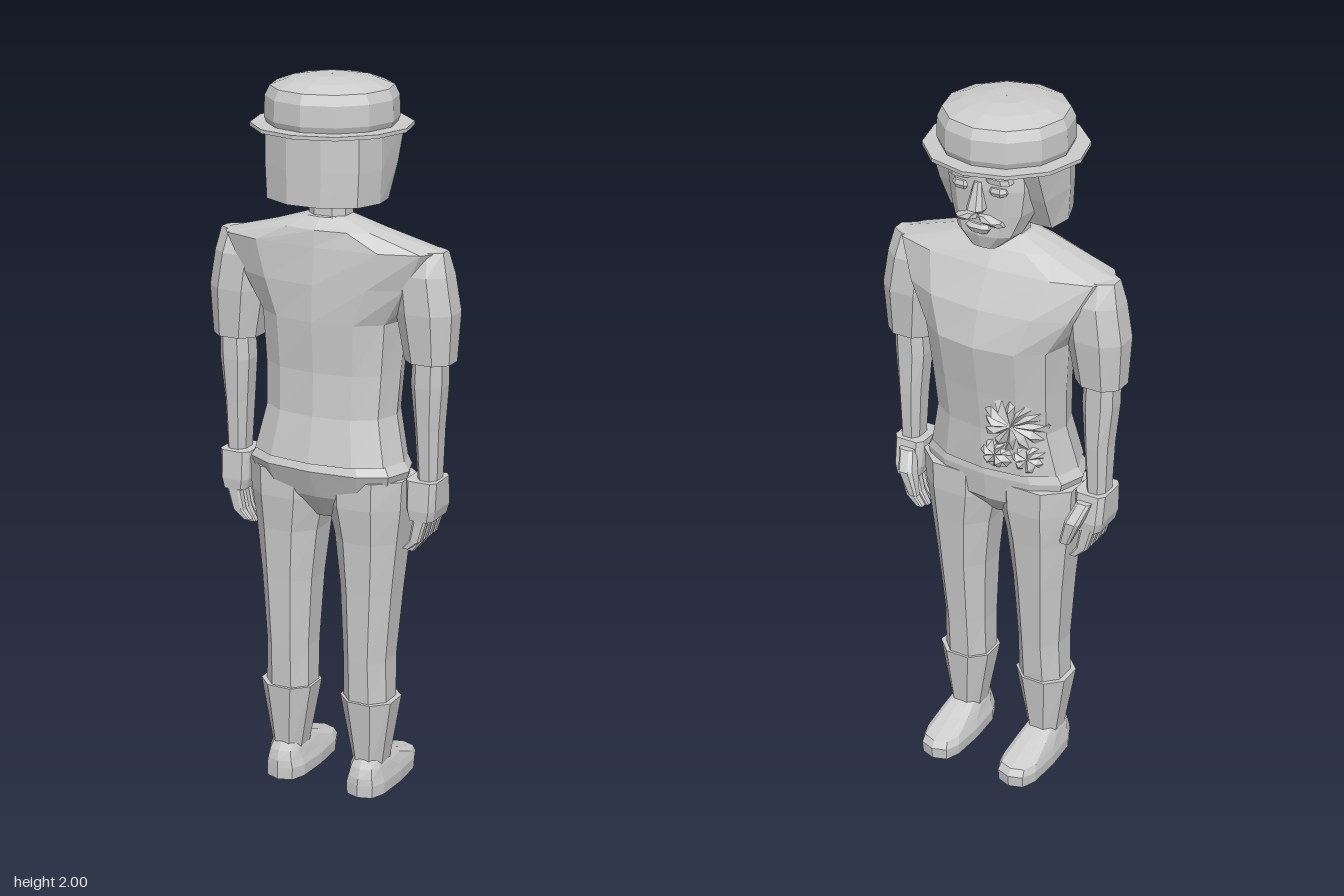
import * as THREE from 'three';

const grey = new THREE.MeshStandardMaterial({ color: 0xcccccc, flatShading: true, side: THREE.DoubleSide });
grey.name = 'plainGrey';

// Closed skin over equal-length loops of [x, y, z], ordered from bottom to top
function skin(loops) {
  const n = loops[0].length, pos = loops.flat(2), idx = [];
  for (let i = 0; i < loops.length - 1; i++) {
    for (let j = 0; j < n; j++) {
      const a = i * n + j, b = i * n + (j + 1) % n;
      idx.push(a, a + n, b, b, a + n, b + n);
    }
  }
  [0, loops.length - 1].forEach((r, top) => {
    const c = pos.length / 3;
    for (let k = 0; k < 3; k++) pos.push(loops[r].reduce((s, p) => s + p[k], 0) / n);
    for (let j = 0; j < n; j++) {
      const a = r * n + j, b = r * n + (j + 1) % n;
      idx.push(...(top ? [c, b, a] : [c, a, b]));
    }
  });
  const g = new THREE.BufferGeometry();
  g.setAttribute('position', new THREE.Float32BufferAttribute(pos, 3));
  g.setIndex(idx);
  const flat = g.toNonIndexed();
  flat.computeVertexNormals();
  return flat;
}

// Rounded cross-sections given as [y, xMin, xMax, zBack, zFront]; e below 1 is boxier
function loft(rings, n = 8, e = 0.8, side = 1) {
  const off = n === 12 ? 0 : Math.PI / n, max = Math.cos(off);
  const f = v => Math.sign(v) * Math.pow(Math.abs(v) / max, e);
  return skin(rings.map(([y, x0, x1, zb, zf]) => Array.from({ length: n }, (_, j) => {
    const t = off + j * Math.PI * 2 / n;
    return [side * (x0 + x1) / 2 + f(Math.cos(t)) * (x1 - x0) / 2, y,
      (zb + zf) / 2 + f(Math.sin(t)) * (zb - zf) / 2];
  })));
}

const wide = rows => rows.map(([y, w, zb, zf]) => [y, -w, w, zb, zf]);

export function createModel() {
  const model = new THREE.Group();
  const add = (name, geometry) => {
    const mesh = new THREE.Mesh(geometry, grey);
    mesh.name = name;
    model.add(mesh);
    return mesh;
  };

  // Shirt body with sloping shoulders
  add('shirt', loft(wide([
    [0.975, 0.22, 0.14, -0.13], [1.1, 0.19, 0.115, -0.135], [1.22, 0.195, 0.11, -0.152],
    [1.36, 0.205, 0.118, -0.175], [1.46, 0.27, 0.115, -0.15], [1.56, 0.325, 0.105, -0.1],
    [1.605, 0.16, 0.1, -0.07], [1.635, 0.065, 0.072, -0.04],
  ]), 12, 0.85));

  // Trouser top
  add('pelvis', loft(wide([
    [0.8, 0.06, 0.05, -0.05], [0.87, 0.21, 0.1, -0.11],
    [0.95, 0.235, 0.132, -0.12], [0.99, 0.21, 0.115, -0.115],
  ]), 12, 0.8));

  // Neck and face
  add('neck', loft(wide([[1.59, 0.055, 0.055, -0.04], [1.72, 0.052, 0.05, -0.045]])));
  add('face', loft(wide([
    [1.632, 0.04, -0.07, -0.13], [1.67, 0.088, 0, -0.142], [1.73, 0.115, 0.05, -0.142],
    [1.8, 0.125, 0.06, -0.145], [1.87, 0.12, 0.06, -0.14],
  ]), 12, 0.8));
  add('nose', loft(wide([
    [1.735, 0.012, -0.12, -0.15], [1.75, 0.024, -0.12, -0.175], [1.82, 0.01, -0.12, -0.15],
  ]), 8, 0.8));
  add('lips', loft(wide([
    [1.68, 0.025, -0.12, -0.148], [1.695, 0.035, -0.12, -0.155], [1.705, 0.028, -0.12, -0.148],
  ]), 8, 0.8));

  // Hair block with the front cut back towards the jaw
  const hairLoop = (y, front, k) => [[0.155, front], [0.165, 0.04], [0.137, 0.115], [0.05, 0.16],
    [-0.05, 0.16], [-0.137, 0.115], [-0.165, 0.04], [-0.155, front]].map(([x, z]) => [x * k, y, z]);
  add('hair', skin([hairLoop(1.68, -0.03, 0.97), hairLoop(1.77, -0.075, 1), hairLoop(1.87, -0.115, 1)]));

  // Bowl hat and flat brim
  add('hatCrown', new THREE.LatheGeometry([
    [0.001, 1.87], [0.17, 1.87], [0.178, 1.89], [0.176, 1.945], [0.163, 1.972],
    [0.115, 1.99], [0.055, 2], [0.001, 2],
  ].map(p => new THREE.Vector2(...p)), 12));
  add('hatBrim', new THREE.CylinderGeometry(0.215, 0.215, 0.01, 12)).position.y = 1.87;

  for (const s of [1, -1]) {
    const side = s > 0 ? 'left' : 'right';
    const part = (name, rings, n, e) => add(side + name, loft(rings, n, e, s));

    // Eye, brow and moustache half
    part('Eye', [[1.79, 0.03, 0.075, -0.1, -0.143], [1.8, 0.025, 0.08, -0.1, -0.147],
      [1.812, 0.03, 0.075, -0.1, -0.143]]);
    part('Brow', [[1.825, 0.02, 0.09, -0.1, -0.15], [1.84, 0.02, 0.085, -0.1, -0.152]]);
    part('Moustache', [[1.705, 0.03, 0.07, -0.1, -0.145], [1.718, 0.004, 0.065, -0.1, -0.16],
      [1.732, 0.002, 0.03, -0.1, -0.155]]);

    // Arm
    part('Sleeve', [[1.265, 0.225, 0.355, 0.052, -0.062], [1.4, 0.2, 0.362, 0.062, -0.075],
      [1.5, 0.19, 0.345, 0.058, -0.07], [1.563, 0.2, 0.33, 0.035, -0.045]], 8, 0.9);
    part('Forearm', [[0.92, 0.265, 0.32, 0.03, -0.045], [1.08, 0.255, 0.325, 0.038, -0.052],
      [1.2, 0.245, 0.335, 0.045, -0.05], [1.3, 0.25, 0.335, 0.045, -0.05]]);
    part('Palm', [[0.83, 0.25, 0.32, 0.052, -0.07], [0.86, 0.242, 0.328, 0.055, -0.073],
      [0.94, 0.24, 0.33, 0.05, -0.06]], 8, 0.4);
    for (let i = 0; i < 4; i++) {
      const z = 0.036 - i * 0.031, d = [0.015, 0, 0, 0.01][i];
      part('Finger' + (i + 1), [[0.73 + d, 0.234, 0.256, z + 0.011, z - 0.011],
        [0.77, 0.255, 0.288, z + 0.013, z - 0.013], [0.85, 0.27, 0.312, z + 0.014, z - 0.014]], 8, 0.5);
    }
    part('Thumb', [[0.8, 0.225, 0.255, -0.088, -0.11], [0.87, 0.24, 0.285, -0.065, -0.115],
      [0.92, 0.258, 0.3, -0.045, -0.08]], 8, 0.6);

    // Leg, boot cuff and shoe
    part('TrouserLeg', [[0.27, 0.055, 0.188, 0.075, -0.06], [0.4, 0.055, 0.185, 0.08, -0.07],
      [0.6, 0.045, 0.2, 0.085, -0.088], [0.75, 0.028, 0.215, 0.09, -0.1],
      [0.85, 0.005, 0.228, 0.1, -0.11], [0.93, 0, 0.232, 0.1, -0.11]], 8, 0.9);
    part('BootCuff', [[0.07, 0.085, 0.17, 0.06, -0.045], [0.28, 0.047, 0.203, 0.084, -0.068]], 8, 0.9);
    part('Shoe', [[0, 0.065, 0.188, 0.092, -0.205], [0.035, 0.063, 0.19, 0.092, -0.208],
      [0.055, 0.07, 0.185, 0.09, -0.195], [0.082, 0.078, 0.178, 0.08, -0.11],
      [0.105, 0.088, 0.168, 0.065, -0.05]], 12, 0.65);
  }

  // Crumpled, torn cloth on the belly: jagged fans laid over the shirt front
  let seed = 7;
  const rnd = () => (seed = (seed * 16807) % 2147483647) / 2147483647;
  const onShirt = (x, y, lift) => [x, y, -0.012 - lift
    - (0.12 + 0.14 * Math.max(0, y - 1.1)) * Math.sqrt(Math.max(0.05, 1 - (x / 0.2) ** 2))];
  const tear = (name, cx, cy, r, n) => {
    const outer = [], inner = [], pos = [], centre = onShirt(cx, cy, 0.012);
    for (let i = 0; i < n; i++) {
      const t = i / n * Math.PI * 2, k = r * (0.8 + 0.25 * rnd()), m = k * (0.5 + 0.2 * rnd());
      outer.push(onShirt(cx + k * Math.cos(t), cy + k * Math.sin(t), 0.002));
      inner.push(onShirt(cx + m * Math.cos(t), cy + m * Math.sin(t), i % 2 ? 0.004 : 0.022));
    }
    for (let i = 0; i < n; i++) {
      const j = (i + 1) % n;
      pos.push(centre, inner[j], inner[i], inner[i], inner[j], outer[j], inner[i], outer[j], outer[i]);
    }
    const g = new THREE.BufferGeometry();
    g.setAttribute('position', new THREE.Float32BufferAttribute(pos.flat(), 3));
    g.computeVertexNormals();
    add(name, g);
  };
  tear('tornClothUpper', -0.09, 1.13, 0.085, 24);
  tear('tornClothLowerInner', -0.045, 1.035, 0.045, 14);
  tear('tornClothLowerOuter', -0.13, 1.03, 0.045, 14);

  return model;
}
